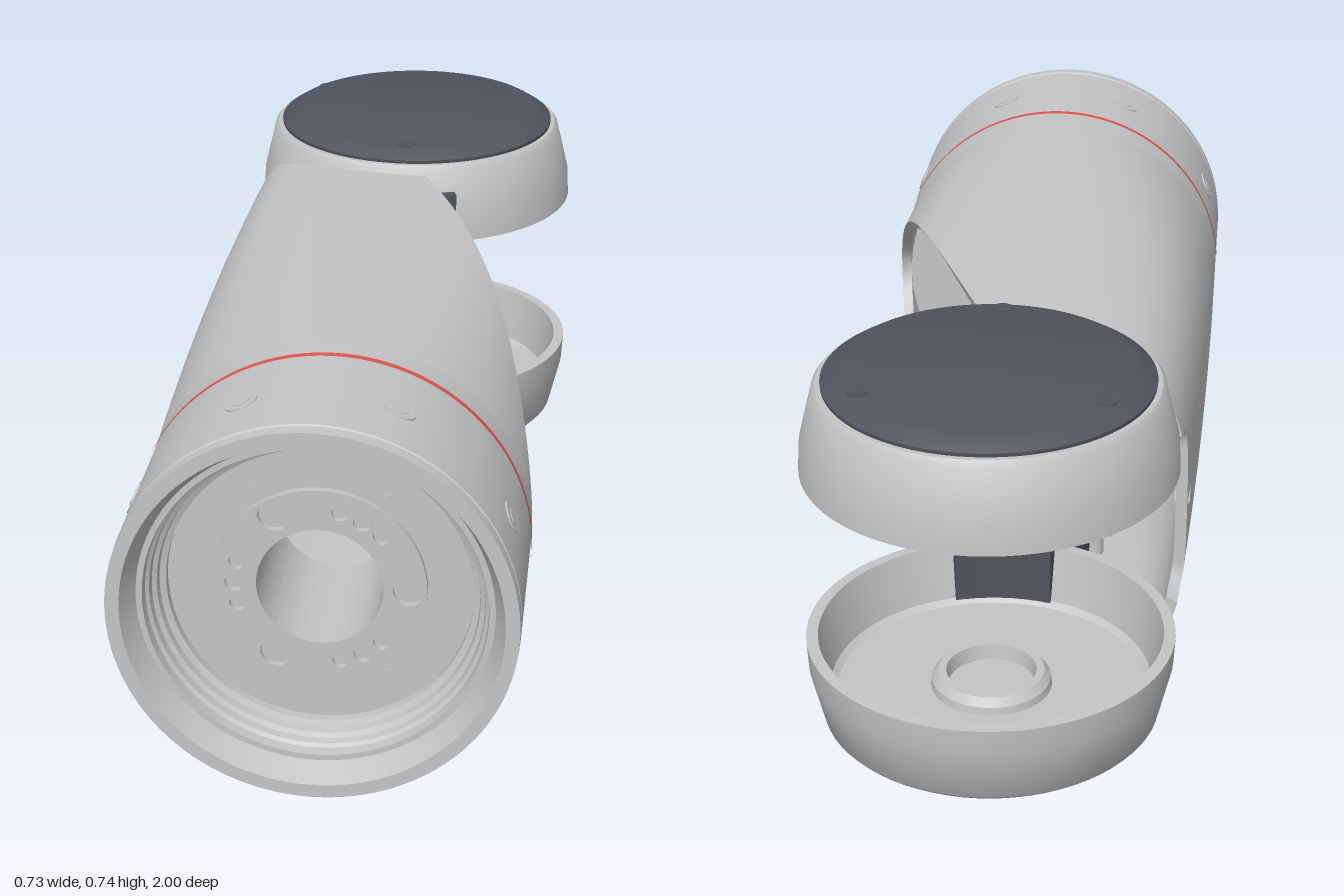
import * as THREE from 'three';
import { toCreasedNormals } from 'three/addons/utils/BufferGeometryUtils.js';

const CY = 0.37, CX = -0.005;          // axis of the tube
const JX = 0.02, JZ = -0.655;          // axis of the fork joint

const material = (name, color) => {
  const m = new THREE.MeshStandardMaterial({ color });
  m.name = name;
  return m;
};

// Surface of revolution about y from [radius, height] pairs, sharp at the corners
function lathe(points, segments = 72) {
  const g = new THREE.LatheGeometry(points.map(p => new THREE.Vector2(p[0], p[1])), segments);
  return toCreasedNormals(g, 0.5);
}

// Tapered half-shell, round at the front and squarer at the fork,
// with an oblique opening on the +x side and a notch between the cups
function shellGeometry() {
  const N = 96, M = 36, wall = 0.022, zStart = 0.62;
  const section = (z, f, inset) => {
    const s = THREE.MathUtils.clamp((zStart - z) / 0.96, 0, 1.2);
    const a = 0.359 - 0.022 * s * s, h = 0.36 - 0.035 * s, n = 2 + 1.6 * s;
    const cut = 0.355 - 0.29 * s + 0.12 * Math.max(0, s * (1 - s));
    const t0 = Math.acos(Math.min(1, (cut - CX) / a) ** (n / 2));
    const t = t0 + (2 * Math.PI - 2 * t0) * f;
    const bow = v => Math.sign(v) * Math.abs(v) ** (2 / n);
    return [CX + (a - inset) * bow(Math.cos(t)), CY + (h - inset) * bow(Math.sin(t)), z];
  };
  const endZ = f => {
    const [x, y] = section(-0.42, f, 0);
    const d = Math.abs(y - CY);
    if (d < 0.175) {
      const k = Math.max(0, d - 0.135) / 0.04;
      return -0.47 - 0.04 * (1 - Math.sqrt(1 - k * k));
    }
    return Math.max(-0.53, JZ + Math.sqrt(Math.max(0, 0.33 ** 2 - (x - JX) ** 2)));
  };
  const pos = [], index = [], ring = 2 * (N + 1);
  for (let i = 0; i <= M; i++) {
    for (let k = 0; k < ring; k++) {
      const inner = k > N, f = (inner ? ring - 1 - k : k) / N;
      const z = zStart + (endZ(f) - zStart) * (i / M) ** 1.5;
      pos.push(...section(z, f, inner ? wall : 0));
    }
  }
  for (let i = 0; i < M; i++) {
    for (let k = 0; k < ring; k++) {
      const k2 = (k + 1) % ring;
      const a = i * ring + k, b = i * ring + k2, c = a + ring, d = b + ring;
      index.push(a, c, b, b, c, d);
    }
  }
  // End face at the fork
  for (let k = 0; k < N; k++) {
    const o = M * ring, a = o + k, b = a + 1, c = o + ring - 1 - k, d = c - 1;
    index.push(a, c, b, b, c, d);
  }
  const g = new THREE.BufferGeometry();
  g.setAttribute('position', new THREE.Float32BufferAttribute(pos, 3));
  g.setIndex(index);
  return toCreasedNormals(g, 0.7);
}

// Round plate facing +z with [x, y, r] holes
function plateGeometry(radius, depth, holes) {
  const s = new THREE.Shape().absarc(0, 0, radius, 0, Math.PI * 2);
  for (const [x, y, r] of holes) s.holes.push(new THREE.Path().absarc(x, y, r, 0, Math.PI * 2, true));
  return new THREE.ExtrudeGeometry(s, { depth, bevelEnabled: false, curveSegments: 32 });
}

// Upright strip following a path of [x, z] points, given thickness inwards
function stripGeometry(outer, inner, height) {
  const s = new THREE.Shape([...outer, ...inner.reverse()].map(([x, z]) => new THREE.Vector2(x, -z)));
  return new THREE.ExtrudeGeometry(s, { depth: height, bevelEnabled: false }).rotateX(-Math.PI / 2);
}

// Arc of [x, z] points about the fork joint, from angle a to b (0 is straight to the front)
function jointArc(r, a, b) {
  return Array.from({ length: 13 }, (_, i) => {
    const t = a + (b - a) * i / 12;
    return [JX + r * Math.sin(t), JZ + r * Math.cos(t)];
  });
}

export function createModel() {
  const grey = material('light grey casing', 0xc3c5c6);
  const slate = material('dark slate cover', 0x50545f);
  const red = material('red stripe', 0xe0564c);
  const shell = grey.clone();
  shell.name = 'light grey shell';
  shell.side = THREE.DoubleSide;

  const model = new THREE.Group();
  const add = (name, geometry, mat, x = 0, y = 0, z = 0, parent = model) => {
    const m = new THREE.Mesh(geometry, mat);
    m.name = name;
    m.position.set(x, y, z);
    parent.add(m);
    return m;
  };

  // Main shell
  add('taperedShell', shellGeometry(), shell);

  // Front collar with stepped bore, turned about z
  const collar = lathe([
    [0.26, 0.6], [0.335, 0.6], [0.337, 0.62], [0.359, 0.62], [0.36, 0.967], [0.357, 0.969], [0.357, 0.974],
    [0.36, 0.976], [0.359, 1], [0.334, 1], [0.314, 0.95], [0.303, 0.95],
    [0.301, 0.93], [0.295, 0.925], [0.293, 0.91], [0.285, 0.905], [0.283, 0.89],
    [0.272, 0.885], [0.272, 0.868], [0.26, 0.868]], 96).rotateX(Math.PI / 2);
  add('frontCollar', collar, grey, CX, CY, 0);

  // Red stripe round the collar
  add('redStripe', new THREE.CylinderGeometry(0.3625, 0.3625, 0.014, 96, 1, true).rotateX(Math.PI / 2),
    red, CX, CY, 0.69);

  // Radial bolts in the collar
  for (let i = 0; i < 8; i++) {
    const a = (i + 0.5) * Math.PI / 4;
    const bolt = new THREE.Group();
    bolt.name = 'collarBolt';
    bolt.position.set(CX + 0.36 * Math.cos(a), CY + 0.36 * Math.sin(a), 0.84);
    bolt.rotation.z = a - Math.PI / 2;
    add('boltRim', new THREE.CylinderGeometry(0.03, 0.03, 0.003, 24), grey, 0, 0, 0, bolt);
    add('boltHead', new THREE.CylinderGeometry(0.015, 0.015, 0.004, 16), grey, 0, 0.001, 0, bolt);
    model.add(bolt);
  }

  // Flange plate in the bore, with a bolt ring and its recessed holes
  const bolts = [];
  for (let i = 0; i < 3; i++) {
    const a = Math.PI + i * Math.PI * 2 / 3;
    for (const [d, r] of [[-0.28, 0.015], [0, 0.017], [0.28, 0.015]])
      bolts.push([0.152 * Math.cos(a + d), 0.152 * Math.sin(a + d), r]);
    const b = a + Math.PI / 3;
    bolts.push([0.158 * Math.cos(b), 0.158 * Math.sin(b), 0.029]);
  }
  const centre = [0, 0, 0.113];
  add('flangePlate', plateGeometry(0.274, 0.265, [centre]), grey, CX, CY, 0.603);
  add('boltRing', plateGeometry(0.19, 0.012, [centre, ...bolts]), grey, CX, CY, 0.868);
  for (const x of [-1, 1]) for (const y of [-1, 1])
    add('flangePin', new THREE.CylinderGeometry(0.008, 0.008, 0.005, 16).rotateX(Math.PI / 2), grey,
      CX + 0.117 * x, CY + 0.176 * y, 0.868);

  // Fork cups, open towards each other; the lower one mirrors the upper
  const half = (points, up) => lathe(up ? points : points.map(([r, y]) => [r, 2 * CY - y]).reverse());
  for (const up of [true, false]) {
    const side = up ? 'upper' : 'lower';
    const at = y => (up ? y : 2 * CY - y);
    add(side + 'Cup', half([[0.323, 0.545], [0.345, 0.546], [0.342, 0.6], [0.317, 0.703], [0.31, 0.711],
      [0, 0.711], [0, 0.665], [0.29, 0.665], [0.302, 0.655], [0.323, 0.545]], up), grey, JX, 0, JZ);
    add(side + 'Cover', half([[0, 0.709], [0.3, 0.709], [0.301, 0.718], [0.275, 0.734],
      [0.262, 0.738], [0, 0.738]], up), slate, JX, 0, JZ);
    for (let i = 0; i < 3; i++) {
      const a = Math.PI / 2 + i * Math.PI * 2 / 3;
      add(side + 'CoverScrew', new THREE.CylinderGeometry(0.019, 0.019, 0.003, 20), slate,
        JX + 0.25 * Math.cos(a), at(0.738), JZ + 0.25 * Math.sin(a));
    }
  }

  // Lower hub: a low ring round the shaft hole
  add('lowerHub', lathe([[0.08, 0.07], [0.115, 0.07], [0.112, 0.09], [0.1, 0.105], [0.085, 0.105],
    [0.08, 0.07]], 48), grey, JX, 0, JZ);

  // Upper hub: a bolt flange hanging in the cup
  const ringHoles = [[0, 0, 0.09]];
  for (let i = 0; i < 12; i++) {
    const a = i * Math.PI / 6;
    ringHoles.push([0.132 * Math.cos(a), 0.132 * Math.sin(a), i % 4 ? 0.011 : 0.02]);
  }
  add('upperHub', plateGeometry(0.175, 0.09, ringHoles).rotateX(Math.PI / 2), grey, JX, 0.665, JZ);
  add('upperShaftHole', new THREE.CylinderGeometry(0.09, 0.09, 0.004, 40), slate, JX, 0.663, JZ);

  // Dark guards: a lower strip along the cup wall with a leg into the shell, and a short upper one
  add('lowerGuard', stripGeometry(jointArc(0.348, -0.3, 0.34), jointArc(0.298, -0.3, 0.34), 0.119),
    slate, 0, 0.08, 0);
  add('lowerGuardLeg', stripGeometry([[-0.12, -0.16], [-0.075, -0.32]], [[-0.132, -0.16], [-0.087, -0.32]], 0.119),
    slate, 0, 0.08, 0);
  add('upperGuard', stripGeometry(jointArc(0.348, 0.1, 0.34), jointArc(0.298, 0.1, 0.34), 0.09),
    slate, 0, 0.565, 0);

  // Screw posts inside the shell: x, z, bottom, top, radius
  for (const [x, z, y0, y1, r] of [[0.12, 0.33, 0.07, 0.62, 0.018], [-0.14, -0.13, 0.06, 0.68, 0.02],
    [-0.2, 0.08, 0.54, 0.66, 0.012], [-0.2, 0.55, 0.1, 0.64, 0.014]]) {
    add('screwPost', new THREE.CylinderGeometry(r, r, y1 - y0, 20), grey, x, (y0 + y1) / 2, z);
    add('postSleeve', new THREE.CylinderGeometry(r * 1.35, r * 1.35, 0.06, 20), grey, x, y1 - 0.08, z);
  }
  // Bracket posts
  for (const [x, z, y0, y1] of [[0.085, 0.01, 0.16, 0.37], [-0.13, 0.01, 0.17, 0.5], [-0.16, -0.28, 0.2, 0.42]]) {
    add('bracketPost', new THREE.BoxGeometry(0.05, y1 - y0, 0.045), grey, x, (y0 + y1) / 2, z);
    add('bracketPin', new THREE.CylinderGeometry(0.014, 0.014, 0.08, 16), grey, x, y1 + 0.02, z);
  }
  // Seam rib along the closed wall
  add('seamRib', new THREE.BoxGeometry(0.03, 0.006, 1.02), grey, -0.325, CY, 0.055);

  return model;
}
